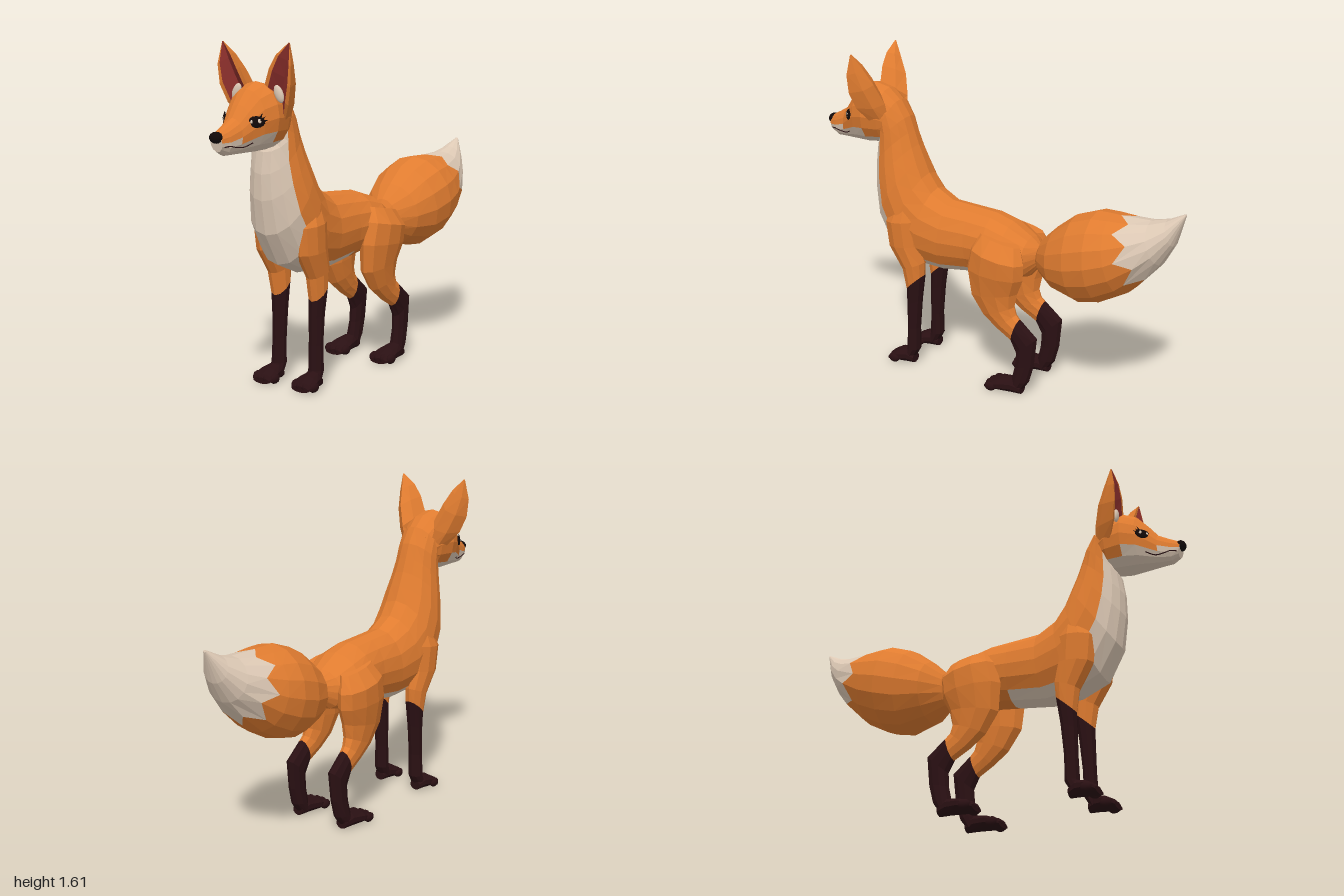
import * as THREE from 'three';

const V = (x, y, z) => new THREE.Vector3(x, y, z);
const mat = (name, color) => {
  const m = new THREE.MeshStandardMaterial({ color });
  m.name = name;
  return m;
};

// Cross-section spanning two points (z, y) in the side plane, with half width w around x = cx
function ring([az, ay, bz, by, w, cx = 0], n) {
  return Array.from({ length: n }, (_, j) => {
    const a = (j / n) * Math.PI * 2, c = Math.cos(a) / 2;
    return V(cx + w * Math.sin(a), (ay + by) / 2 + (ay - by) * c, (az + bz) / 2 + (az - bz) * c);
  });
}

// Faceted skin over cross-sections; pick(i, j, centre) gives the material index of each face
function loft(name, rings, mats, pick = () => 0, flip = false) {
  const lists = mats.map(() => []);
  const tri = (k, a, b, c) => {
    const area = b.clone().sub(a).cross(c.clone().sub(a)).length();
    if (area < 1e-8) return;
    for (const p of flip ? [a, c, b] : [a, b, c]) lists[k].push(p.x, p.y, p.z);
  };
  const n = rings[0].length, last = rings.length - 1;
  const mid = (pts) => pts.reduce((s, p) => s.add(p), V(0, 0, 0)).divideScalar(pts.length);
  for (let j = 0; j < n; j++) {
    const k = (j + 1) % n;
    for (let i = 0; i < last; i++) {
      const [a, b, c, d] = [rings[i][j], rings[i + 1][j], rings[i + 1][k], rings[i][k]];
      const m = pick(i, j, mid([a, b, c, d]));
      tri(m, a, b, c);
      tri(m, a, c, d);
    }
    tri(pick(0, j, mid(rings[0])), mid(rings[0]), rings[0][j], rings[0][k]);
    tri(pick(last - 1, j, mid(rings[last])), mid(rings[last]), rings[last][k], rings[last][j]);
  }
  const g = new THREE.BufferGeometry();
  let start = 0;
  lists.forEach((l, k) => {
    if (l.length) g.addGroup(start, l.length / 3, k);
    start += l.length / 3;
  });
  g.setAttribute('position', new THREE.Float32BufferAttribute(lists.flat(), 3));
  g.computeVertexNormals();
  const mesh = new THREE.Mesh(g, mats);
  mesh.name = name;
  return mesh;
}

export function createModel() {
  const fox = new THREE.Group();
  fox.name = 'fox';
  const orange = mat('orange fur', 0xe07c30), cream = mat('cream fur', 0xdcc8b4);
  const dark = mat('dark stocking', 0x2a1013), black = mat('black', 0x120909);
  const red = mat('inner ear red', 0x8c2f2c);

  const blob = (name, m, pos, scale, parent = fox) => {
    const mesh = new THREE.Mesh(new THREE.SphereGeometry(1, 10, 7), m);
    mesh.name = name;
    mesh.position.copy(pos);
    mesh.scale.set(...scale);
    parent.add(mesh);
    return mesh;
  };

  // Body and neck, with cream belly and chest
  const N = 16;
  const bodyRings = [
    [-0.25, 0.74, -0.25, 0.64, 0.04], [-0.2, 0.78, -0.2, 0.58, 0.12],
    [-0.1, 0.84, -0.1, 0.56, 0.16], [0.0, 0.87, 0.0, 0.56, 0.155],
    [0.12, 0.88, 0.1, 0.545, 0.145], [0.25, 0.89, 0.28, 0.52, 0.145],
    [0.34, 0.94, 0.43, 0.53, 0.16], [0.39, 1.01, 0.57, 0.59, 0.17],
    [0.42, 1.08, 0.655, 0.74, 0.16], [0.45, 1.15, 0.68, 0.9, 0.138],
    [0.475, 1.22, 0.68, 1.02, 0.12], [0.5, 1.29, 0.665, 1.12, 0.113],
    [0.55, 1.37, 0.64, 1.16, 0.11],
  ].map((r) => ring(r, N));
  fox.add(loft('body', bodyRings, [orange, cream], (i, j) => {
    const fromBelly = Math.abs(j + 0.5 - N / 2);
    return i >= 4 && fromBelly < (i < 7 ? 2 : 3) ? 1 : 0;
  }));

  // Head with tapering muzzle
  const headRings = [
    [0.54, 1.35, 0.59, 1.17, 0.095], [0.62, 1.42, 0.63, 1.14, 0.122],
    [0.71, 1.44, 0.71, 1.13, 0.135], [0.775, 1.41, 0.78, 1.13, 0.113],
    [0.83, 1.345, 0.83, 1.13, 0.086], [0.87, 1.29, 0.875, 1.13, 0.064],
    [0.93, 1.255, 0.93, 1.13, 0.05], [0.98, 1.23, 0.965, 1.15, 0.034],
  ].map((r) => ring(r, N));
  const head = loft('head', headRings, [orange, cream], (i, j, c) => (c.y < 1.2 && c.z > 0.6 ? 1 : 0));
  fox.add(head);
  blob('nose', black, V(0, 1.213, 0.973), [0.034, 0.026, 0.026]);

  // Point on the head surface met from a given direction
  const onHead = (target, dir) => {
    const ray = new THREE.Raycaster(target.clone().addScaledVector(dir, 0.6), dir.clone().negate());
    return ray.intersectObject(head)[0]?.point ?? target;
  };

  for (const s of [1, -1]) {
    const side = s > 0 ? 'left' : 'right';

    // Eye with lashes
    const dir = V(s * 0.7, 0.15, 0.7).normalize();
    const eye = new THREE.Group();
    eye.name = side + 'Eye';
    eye.position.copy(onHead(V(s * 0.055, 1.265, 0.78), dir));
    eye.lookAt(eye.position.clone().add(dir));
    blob('eyeRim', black, V(0, 0, 0), [0.04, 0.026, 0.009], eye);
    blob('eyeWhite', cream, V(s * 0.014, 0.003, 0.006), [0.009, 0.011, 0.004], eye);
    blob('eyeWhite', cream, V(-s * 0.02, 0.001, 0.005), [0.007, 0.009, 0.004], eye);
    for (let k = 0; k < 3; k++) {
      const lash = new THREE.Mesh(new THREE.ConeGeometry(0.007, 0.03, 4), black);
      lash.name = 'lash';
      lash.position.set(s * (0.022 + k * 0.008), 0.026 - k * 0.011, 0.004);
      lash.rotation.z = -s * (0.5 + k * 0.4);
      eye.add(lash);
    }
    fox.add(eye);

    // Mouth line along the muzzle
    const lip = [[0.82, 1.182], [0.86, 1.165], [0.9, 1.168], [0.935, 1.175], [0.96, 1.172]]
      .map(([z, y]) => onHead(V(s * 0.01, y, z), V(s, 0, 0)));
    const mouth = new THREE.Mesh(new THREE.TubeGeometry(new THREE.CatmullRomCurve3(lip), 12, 0.003, 5), dark);
    mouth.name = side + 'MouthLine';
    fox.add(mouth);

    // Ear: inner edge, outer edge and back at each level, hollowed at the front
    const levels = [
      [[0.075, 1.35, 0.69], [0.125, 1.27, 0.66], [0.08, 1.28, 0.575]],
      [[0.05, 1.425, 0.71], [0.175, 1.34, 0.7], [0.1, 1.36, 0.58]],
      [[0.085, 1.5, 0.72], [0.203, 1.42, 0.72], [0.14, 1.46, 0.615]],
      [[0.125, 1.56, 0.72], [0.21, 1.51, 0.725], [0.165, 1.54, 0.66]],
      [[0.188, 1.612, 0.71], [0.194, 1.61, 0.71], [0.191, 1.611, 0.705]],
    ].map((l) => {
      const [I, O, B] = l.map(([x, y, z]) => V(s * x, y, z));
      const m = I.clone().lerp(O, 0.5);
      const bulge = (e) => e.clone().lerp(B, 0.5).add(e.clone().lerp(B, 0.5).sub(m).multiplyScalar(0.3));
      return [I, bulge(I), B, bulge(O), O, O.clone().lerp(I, 0.14), m.clone().lerp(B, 0.35), I.clone().lerp(O, 0.14)];
    });
    fox.add(loft(side + 'Ear', levels, [orange, red], (i, j) => (j === 5 || j === 6 ? 1 : 0), s < 0));
    blob(side + 'EarTuft', cream, V(s * 0.122, 1.388, 0.698), [0.024, 0.042, 0.012]).rotation.z = s * 0.45;

    // Legs: orange upper part and dark stocking sharing one cross-section
    const leg = (name, rows, split) => {
      const rings = rows.map((r) => ring([...r.slice(0, 5), s * r[5]], 10));
      fox.add(loft(side + name + 'Upper', rings.slice(0, split + 1), [orange]));
      fox.add(loft(side + name + 'Stocking', rings.slice(split), [dark]));
    };
    leg('FrontLeg', [
      [0.52, 0.88, 0.41, 0.9, 0.045, 0.1], [0.57, 0.77, 0.385, 0.79, 0.065, 0.12],
      [0.555, 0.64, 0.375, 0.66, 0.062, 0.118], [0.48, 0.52, 0.355, 0.57, 0.052, 0.115],
      [0.46, 0.41, 0.36, 0.5, 0.046, 0.112], [0.46, 0.33, 0.38, 0.36, 0.04, 0.11],
      [0.46, 0.2, 0.395, 0.2, 0.037, 0.11], [0.465, 0.08, 0.395, 0.08, 0.04, 0.112],
      [0.48, 0.03, 0.43, 0.02, 0.04, 0.114],
    ], 4);
    leg('HindLeg', [
      [0.02, 0.8, -0.2, 0.76, 0.04, 0.12], [0.06, 0.73, -0.23, 0.68, 0.078, 0.14],
      [0.085, 0.62, -0.225, 0.6, 0.076, 0.137], [0.07, 0.48, -0.19, 0.52, 0.062, 0.128],
      [0.0, 0.38, -0.175, 0.45, 0.05, 0.126], [-0.08, 0.32, -0.185, 0.41, 0.042, 0.127],
      [-0.165, 0.27, -0.205, 0.39, 0.037, 0.13], [-0.19, 0.21, -0.305, 0.31, 0.036, 0.132],
      [-0.185, 0.14, -0.29, 0.16, 0.034, 0.134], [-0.17, 0.07, -0.265, 0.07, 0.038, 0.136],
      [-0.17, 0.03, -0.22, 0.01, 0.038, 0.138],
    ], 6);

    // Paws with toes
    const paw = (name, x, z, len) => {
      const rows = [[0, 0.05, 0.03], [0.25, 0.08, 0.046], [0.6, 0.068, 0.062], [0.88, 0.045, 0.062], [0.96, 0.03, 0.05]];
      const rings = rows.map(([t, h, w]) => ring([z + t * len, h, z + t * len, 0, w, s * x], 10));
      fox.add(loft(side + name, rings, [dark]));
      for (const k of [-1.5, -0.5, 0.5, 1.5])
        blob(side + name + 'Toe', dark, V(s * x + k * 0.034, 0.024, z + len - 0.03 - Math.abs(k) * 0.01), [0.019, 0.024, 0.032]);
    };
    paw('FrontPaw', 0.117, 0.42, 0.145);
    paw('HindPaw', 0.14, -0.23, 0.2);
  }

  // Bushy tail with a jagged cream tip
  const tail = [
    [-0.235, 0.64, -0.235, 0.72, 0.035], [-0.27, 0.605, -0.27, 0.79, 0.085],
    [-0.37, 0.55, -0.34, 0.86, 0.165], [-0.5, 0.515, -0.44, 0.94, 0.208],
    [-0.61, 0.54, -0.55, 0.98, 0.22], [-0.72, 0.6, -0.63, 0.98, 0.203],
    [-0.83, 0.7, -0.73, 0.975, 0.165], [-0.89, 0.78, -0.82, 0.98, 0.122],
    [-0.945, 0.88, -0.9, 1.0, 0.072], [-0.99, 1.03, -0.985, 1.04, 0.008],
  ].map((r) => ring(r, N));
  const tipStart = 6;
  tail[tipStart].forEach((p, j) => p.lerp(tail[tipStart - 1][j], j % 2 ? 0 : 0.6));
  fox.add(loft('tail', tail, [orange, cream], (i) => (i >= tipStart ? 1 : 0)));

  return fox;
}
